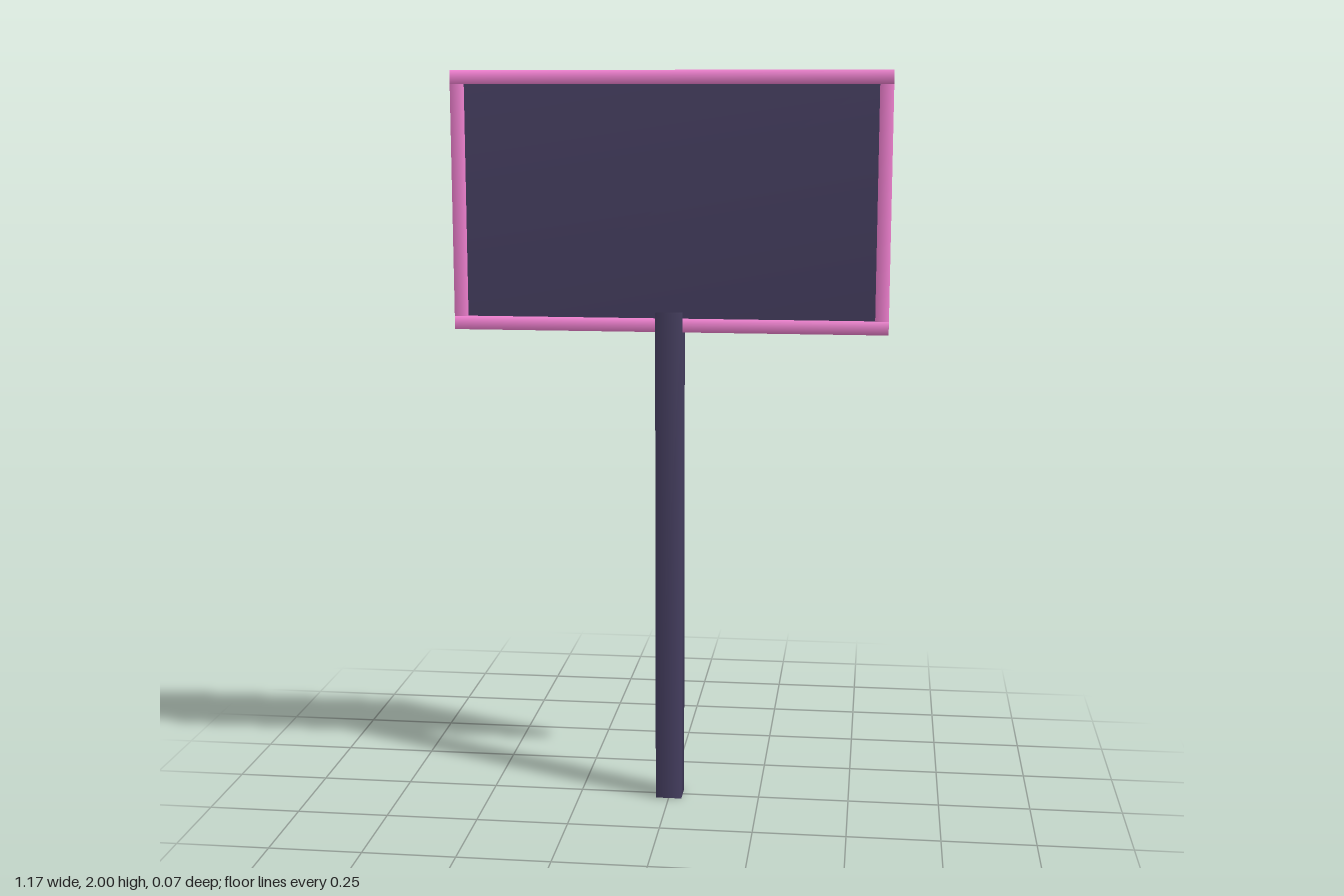
import * as THREE from 'three';
import { mergeVertices } from 'three/addons/utils/BufferGeometryUtils.js';

// Box with shared corners, so the shading flows softly around its edges
function softBox(w, h, d) {
  const g = new THREE.BoxGeometry(w, h, d);
  g.deleteAttribute('normal');
  g.deleteAttribute('uv');
  const merged = mergeVertices(g);
  merged.computeVertexNormals();
  return merged;
}

export function createModel() {
  const group = new THREE.Group();
  const dark = new THREE.MeshStandardMaterial({ color: 0x453e60 });
  const pink = new THREE.MeshStandardMaterial({ color: 0xf080d0 });
  const teal = new THREE.MeshStandardMaterial({ color: 0x70f0d8 });

  const add = (name, material, [w, h, d], [x, y, z]) => {
    const mesh = new THREE.Mesh(softBox(w, h, d), material);
    mesh.name = name;
    mesh.position.set(x, y, z);
    group.add(mesh);
  };

  const width = 1.166, bottom = 1.313, top = 2, rail = 0.036, depth = 0.053;
  const midY = (bottom + top) / 2;
  const innerH = top - bottom - 2 * rail;

  // Post, rising a little past the lower rail
  add('post', dark, [0.072, 1.365, 0.072], [0, 1.365 / 2, 0]);

  // Sign panel, recessed within the frame
  add('panel', dark, [width - rail, top - bottom - rail, 0.036], [0, midY, 0]);

  // Frame: full-width rails with uprights between them
  add('topRail', pink, [width, rail, depth], [0, top - rail / 2, 0]);
  add('bottomRail', pink, [width, rail, depth], [0, bottom + rail / 2, 0]);
  for (const [name, side] of [['leftUpright', 1], ['rightUpright', -1]]) {
    add(name, pink, [rail, innerH, depth], [side * (width - rail) / 2, midY, 0]);
  }

  // Three raised strips on the back
  [1.819, 1.657, 1.495].forEach((y, i) => {
    add('backStrip' + (i + 1), teal, [0.842, 0.045, 0.026], [0, y, -0.023]);
  });

  return group;
}
